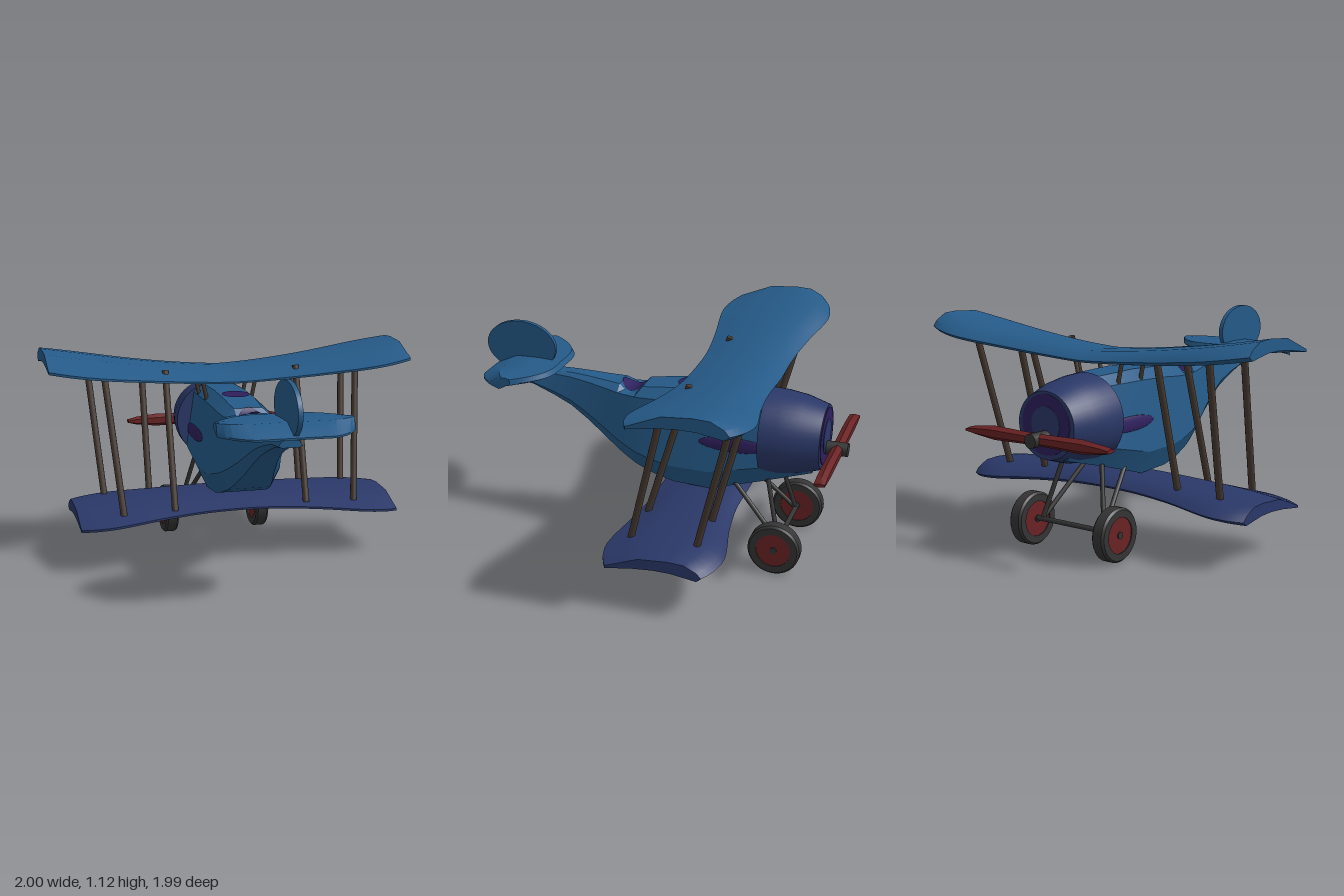
import * as THREE from 'three';
import { toCreasedNormals } from 'three/addons/utils/BufferGeometryUtils.js';

const mat = (name, color, side = THREE.FrontSide) => {
  const m = new THREE.MeshStandardMaterial({ color, side });
  m.name = name;
  return m;
};

// Interpolate a table of [key, a, b, ...] rows with ascending keys, smoothly.
function sample(table, k, column) {
  let i = 0;
  while (i < table.length - 2 && k > table[i + 1][0]) i++;
  const p = table[Math.max(i - 1, 0)], a = table[i], b = table[i + 1], q = table[Math.min(i + 2, table.length - 1)];
  const t = (k - a[0]) / (b[0] - a[0]), d = b[0] - a[0];
  const slope = (u, v) => ((v[column] - u[column]) / (v[0] - u[0])) * d;
  const m0 = i === 0 ? 0 : slope(p, b), m1 = slope(a, q);
  const t2 = t * t, t3 = t2 * t;
  return (2 * t3 - 3 * t2 + 1) * a[column] + (t3 - 2 * t2 + t) * m0 + (3 * t2 - 2 * t3) * b[column] + (t3 - t2) * m1;
}

// Closed skin over a list of rings of [x, y, z], with fan caps.
function loft(rings, crease = 0.6) {
  const n = rings[0].length, pos = rings.flat(2), idx = [];
  for (let r = 0; r < rings.length - 1; r++) {
    for (let i = 0; i < n; i++) {
      const a = r * n + i, b = r * n + ((i + 1) % n);
      idx.push(a, b, a + n, b, b + n, a + n);
    }
  }
  [0, rings.length - 1].forEach((r, end) => {
    const c = pos.length / 3;
    for (let k = 0; k < 3; k++) pos.push(rings[r].reduce((s, p) => s + p[k], 0) / n);
    for (let i = 0; i < n; i++) {
      const a = r * n + i, b = r * n + ((i + 1) % n);
      idx.push(...(end ? [a, b, c] : [b, a, c]));
    }
  });
  // Turn the skin outward if its signed volume is negative
  const v = (i) => new THREE.Vector3().fromArray(pos, i * 3);
  let volume = 0;
  for (let i = 0; i < idx.length; i += 3) volume += v(idx[i]).dot(v(idx[i + 1]).cross(v(idx[i + 2])));
  if (volume < 0) idx.reverse();
  const g = new THREE.BufferGeometry();
  g.setAttribute('position', new THREE.Float32BufferAttribute(pos, 3));
  g.setIndex(idx);
  return toCreasedNormals(g, crease);
}

// Wing-like surface: plan rows are [|x|, leading z, trailing z]
function wing(plan, section, span, steps, base, height, dz = 0) {
  const rings = [];
  for (let i = -steps; i <= steps; i++) {
    const u = Math.abs(i / steps), k = u * plan[plan.length - 1][0];
    const lead = sample(plan, k, 1), trail = sample(plan, k, 2);
    rings.push(section.map(([t, y]) => [(i / steps) * span, base(u) + y * height(u), lead + (trail - lead) * t + dz]));
  }
  return loft(rings, 0.45);
}

export function createModel() {
  const group = new THREE.Group();
  const blue = mat('blue', 0x255a88), navy = mat('navy', 0x2a3868);
  const purple = mat('purple', 0x2e1f5c, THREE.DoubleSide), red = mat('red', 0x6a2224);
  const rubber = mat('charcoal', 0x343434), brown = mat('brown', 0x453830);

  const add = (name, geometry, material) => {
    const mesh = new THREE.Mesh(geometry, material);
    mesh.name = name;
    group.add(mesh);
    return mesh;
  };
  const rod = (name, a, b, r, material) => {
    const p = new THREE.Vector3(...a), q = new THREE.Vector3(...b);
    const m = add(name, new THREE.CylinderGeometry(r, r, p.distanceTo(q), 12), material);
    m.position.copy(p).lerp(q, 0.5);
    m.quaternion.setFromUnitVectors(new THREE.Vector3(0, 1, 0), q.sub(p).normalize());
  };

  // Fuselage: rows of z, top, bottom, half width, cockpit dip
  const rows = [
    [0.84, 0.83, 0.795, 0.06, 0], [0.72, 0.85, 0.775, 0.06, 0], [0.6, 0.865, 0.73, 0.068, 0],
    [0.5, 0.865, 0.685, 0.076, 0], [0.4, 0.86, 0.62, 0.092, 0], [0.3, 0.852, 0.545, 0.113, 0],
    [0.22, 0.847, 0.49, 0.137, 0], [0.19, 0.848, 0.47, 0.145, 0.028], [0.155, 0.849, 0.45, 0.154, 0.04],
    [0.12, 0.85, 0.43, 0.162, 0.028], [0.09, 0.852, 0.418, 0.169, 0], [0, 0.862, 0.385, 0.181, 0],
    [-0.1, 0.875, 0.36, 0.185, 0], [-0.3, 0.885, 0.35, 0.185, 0], [-0.57, 0.88, 0.43, 0.18, 0],
    [-0.83, 0.78, 0.5, 0.13, 0],
  ];
  add('fuselage', loft(rows.map(([z, top, bot, w, dip]) => {
    const h = top - bot;
    const half = [[0.45 * w, top - dip], [0.75 * w, top - 0.1 * h], [w, bot + 0.22 * h], [0.7 * w, bot]];
    return [...half, ...half.map(([x, y]) => [-x, y]).reverse()].map(([x, y]) => [x, y, z]);
  }), 0.4), blue);

  // Cockpit openings: thin discs shaped to the deck
  const opening = (name, z0, r, rule) => {
    const g = new THREE.RingGeometry(0.001, r, 24, 6).rotateX(-Math.PI / 2).translate(0, 0, z0);
    const p = g.attributes.position;
    for (let i = 0; i < p.count; i++) p.setY(i, rule(p.getZ(i)));
    g.computeVertexNormals();
    add(name, g, purple);
  };
  opening('rearCockpit', 0.155, 0.066, (z) => 0.856 - 0.04 * Math.max(0, 1 - ((z - 0.155) / 0.065) ** 2));
  opening('frontCockpit', -0.16, 0.075, (z) => 0.884 - 0.06 * (z + 0.16));

  // Side panels running out of the cowling
  for (const s of [-1, 1]) {
    const panel = add('sidePanel', new THREE.SphereGeometry(1, 24, 12), purple);
    panel.scale.set(0.009, 0.038, 0.19);
    panel.position.set(s * 0.166, 0.63, -0.435);
    panel.rotation.z = s * 0.12;
  }

  // Engine cowling and its front face
  const profile = [[0, 0.57], [0.222, 0.57], [0.218, 0.66], [0.203, 0.76], [0.168, 0.875], [0, 0.875]];
  const cowl = new THREE.LatheGeometry(profile.map((p) => new THREE.Vector2(...p)), 40);
  add('cowling', toCreasedNormals(cowl.rotateX(-Math.PI / 2).scale(1.05, 1, 1).translate(0, 0.67, 0), 0.6), navy);
  const disc = (name, r, z, m) =>
    add(name, new THREE.CylinderGeometry(r, r, 0.006, 32).rotateX(Math.PI / 2).translate(0, 0.675, z), m);
  disc('cowlingFace', 0.15, -0.876, purple);
  disc('engineFace', 0.09, -0.879, navy);

  // Propeller and shaft
  const shaft = new THREE.CylinderGeometry(0.036, 0.036, 0.125, 20).rotateX(Math.PI / 2);
  add('propellerShaft', shaft.translate(0, 0.613, -0.93), rubber);
  const blade = [[0, 0.03], [0.12, 0.032], [0.28, 0.036], [0.4, 0.023], [0.45, 0.01]];
  const both = [...blade.slice(1).reverse().map(([x, h]) => [-x, h]), ...blade];
  add('propeller', loft(both.map(([x, h]) =>
    [[h * 0.5, -0.967], [h, -0.94], [h * 0.5, -0.912], [-h * 0.5, -0.912], [-h, -0.94], [-h * 0.5, -0.967]]
      .map(([y, z]) => [x, 0.613 + y, z]))), red);

  // Main wings
  const plan = [[0, -0.63, -0.165], [0.25, -0.63, -0.163], [0.5, -0.655, -0.135],
    [0.78, -0.702, -0.095], [0.92, -0.68, -0.115], [1, -0.64, -0.15]];
  const airfoil = [[0, 0.3], [0.05, 0.6], [0.18, 0.95], [0.35, 1], [0.65, 0.88], [0.83, 0.5], [1, 0.14],
    [1, 0], [0.8, 0.2], [0.5, 0.33], [0.2, 0.3], [0.05, 0.08]];
  const bend = (u) => u ** 1.6;
  add('upperWing', wing(plan, airfoil, 1, 24, (u) => 0.94 + 0.09 * bend(u), (u) => 0.06 + 0.035 * u), blue);
  add('lowerWing', wing(plan, airfoil, 0.875, 24, (u) => 0.28 - 0.06 * bend(u), (u) => 0.07 + 0.018 * u, 0.16), navy);

  // Tailplane and fin
  const tailPlan = [[0, 0.555, 0.94], [0.12, 0.556, 0.94], [0.2, 0.58, 0.935], [0.28, 0.645, 0.875], [0.34, 0.72, 0.785]];
  const tailSection = [[0, 0.5], [0.04, 0.9], [0.4, 1], [0.7, 0.97], [1, 0.15], [1, 0], [0.7, 0.12], [0.4, 0.3], [0.04, 0.4]];
  add('tailplane', wing(tailPlan, tailSection, 0.342, 12, () => 0.852, () => 0.065), blue);
  const fin = new THREE.CylinderGeometry(1, 1, 0.024, 40).rotateZ(Math.PI / 2).scale(1, 0.138, 0.197);
  add('fin', fin.translate(0, 0.973, 0.797), blue);

  for (const s of [-1, 1]) {
    // Struts between the wings
    rod('innerRearStrut', [s * 0.365, 0.29, -0.04], [s * 0.365, 1.012, -0.257], 0.018, brown);
    rod('innerFrontStrut', [s * 0.435, 0.3, -0.395], [s * 0.435, 0.99, -0.575], 0.018, brown);
    rod('outerRearStrut', [s * 0.64, 0.28, -0.045], [s * 0.7, 1.0, -0.225], 0.018, brown);
    rod('outerFrontStrut', [s * 0.685, 0.29, -0.395], [s * 0.74, 1.02, -0.58], 0.018, brown);
    for (const z of [-0.3, -0.48]) rod('cabaneStrut', [s * 0.125, 0.83, z], [s * 0.155, 0.97, z], 0.011, brown);

    // Landing gear
    for (const z of [-0.62, -0.44]) rod('gearStrut', [s * 0.2, 0.14, -0.69], [s * 0.125, z < -0.5 ? 0.45 : 0.41, z + 0.01], 0.012, rubber);
    const tyreProfile = [[0.09, -0.037], [0.126, -0.037], [0.136, -0.026], [0.136, 0.026], [0.126, 0.037], [0.09, 0.037], [0.09, -0.037]];
    const tyre = new THREE.LatheGeometry(tyreProfile.map((p) => new THREE.Vector2(...p)), 36);
    add('tyre', toCreasedNormals(tyre.rotateZ(Math.PI / 2).translate(s * 0.267, 0.136, -0.69), 0.5), rubber);
    const part = (name, r, w, m) =>
      add(name, new THREE.CylinderGeometry(r, r, w, 32).rotateZ(Math.PI / 2).translate(s * 0.267, 0.136, -0.69), m);
    part('wheelDisc', 0.091, 0.064, red);
    part('wheelCap', 0.018, 0.076, rubber);
  }
  rod('axle', [-0.26, 0.14, -0.69], [0.26, 0.14, -0.69], 0.013, rubber);

  return group;
}
